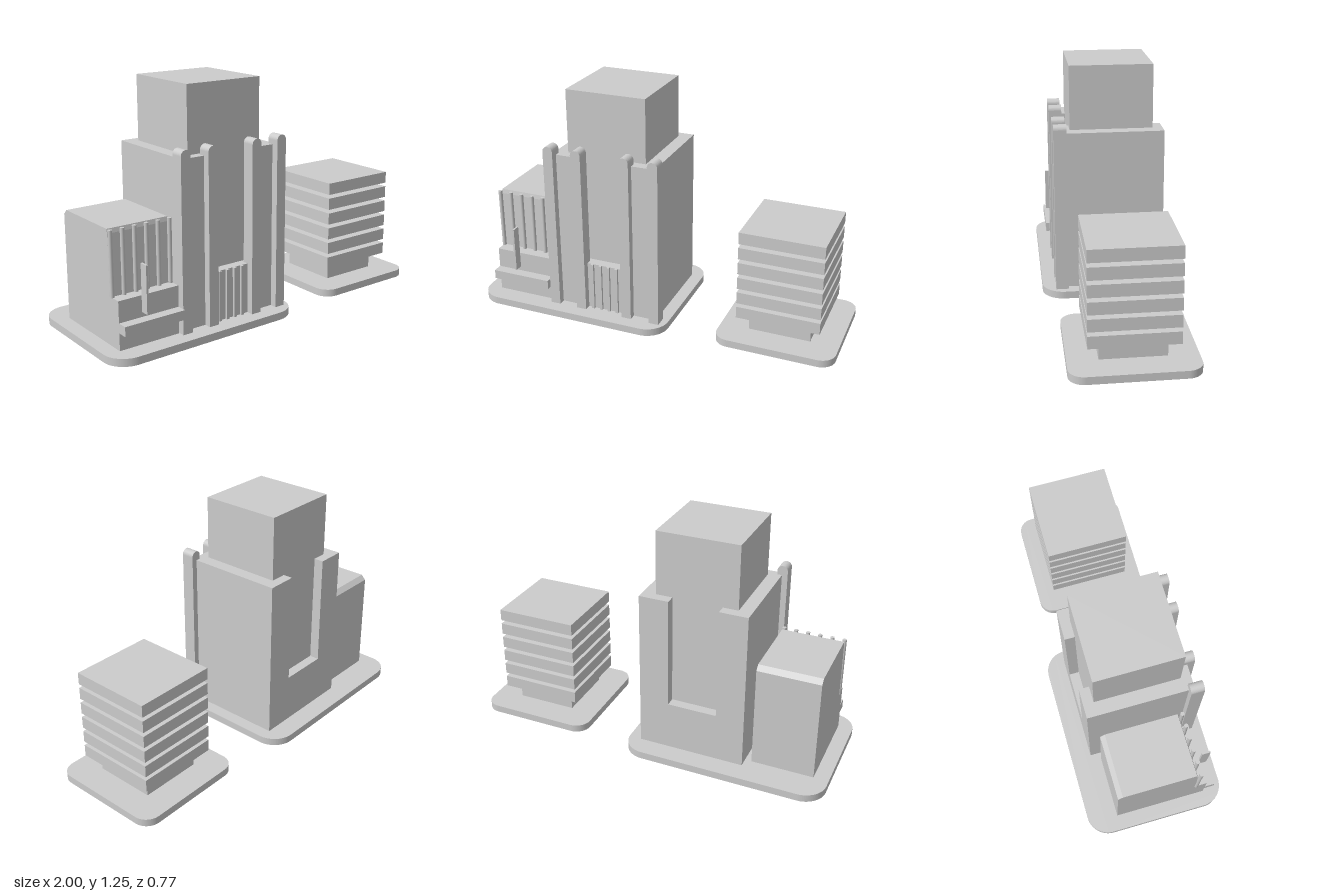
import * as THREE from 'three';

const material = new THREE.MeshStandardMaterial({ color: 0xcccccc });

function add(parent, name, geometry) {
  const mesh = new THREE.Mesh(geometry, material);
  mesh.name = name;
  parent.add(mesh);
  return mesh;
}

// Box given by its limits on each axis
function block(parent, name, [x0, x1], [y0, y1], [z0, z1]) {
  const mesh = add(parent, name, new THREE.BoxGeometry(x1 - x0, y1 - y0, z1 - z0));
  mesh.position.set((x0 + x1) / 2, (y0 + y1) / 2, (z0 + z1) / 2);
  return mesh;
}

function polygon(points) {
  return new THREE.Shape(points.map(([x, y]) => new THREE.Vector2(x, y)));
}

function extrude(shape, depth) {
  return new THREE.ExtrudeGeometry(shape, { depth, bevelEnabled: false, curveSegments: 10 });
}

// Ground slab with rounded corners
function slab(parent, name, cx, w, d, r) {
  const x = w / 2, y = d / 2;
  const s = new THREE.Shape();
  s.absarc(x - r, y - r, r, 0, Math.PI / 2);
  s.absarc(-x + r, y - r, r, Math.PI / 2, Math.PI);
  s.absarc(-x + r, -y + r, r, Math.PI, Math.PI * 1.5);
  s.absarc(x - r, -y + r, r, Math.PI * 1.5, Math.PI * 2);
  s.closePath();
  add(parent, name, extrude(s, 0.04).rotateX(-Math.PI / 2)).position.x = cx;
}

function makeTower() {
  const tower = new THREE.Group();
  tower.name = 'mainTower';

  // Lower body with two shoulders, leaving a tall slot at front and back
  const body = polygon([
    [-0.55, 0.04], [0.03, 0.04], [0.03, 0.91], [-0.131, 0.91],
    [-0.131, 0.307], [-0.398, 0.307], [-0.398, 0.91], [-0.55, 0.91],
  ]);
  add(tower, 'shoulderBody', extrude(body, 0.55)).position.z = -0.275;
  block(tower, 'upperTower', [-0.48, -0.04], [0.3, 1.253], [-0.222, 0.222]);

  // Round-topped pilasters on the front
  const r = 0.028, top = 0.962;
  for (const x of [-0.553, -0.394, -0.126, 0.033]) {
    const s = new THREE.Shape();
    s.moveTo(-r, 0.04);
    s.lineTo(r, 0.04);
    s.lineTo(r, top - r);
    s.absarc(0, top - r, r, 0, Math.PI);
    s.closePath();
    add(tower, 'pilaster', extrude(s, 0.07)).position.set(x, 0, 0.244);
  }

  // Entrance fins
  for (let i = 0; i < 4; i++) {
    const x = -0.335 + i * 0.047;
    block(tower, 'entranceFin', [x - 0.008, x + 0.008], [0.04, 0.307], [0.27, 0.288]);
  }
  return tower;
}

function makeHall() {
  const hall = new THREE.Group();
  hall.name = 'sideHall';
  const x0 = -0.92, x1 = -0.585;

  // Side profile in (z, y): chamfered back edge, slightly leaning glass front
  const profile = polygon([
    [-0.222, 0.04], [0.215, 0.04], [0.215, 0.29], [0.2, 0.597],
    [0.195, 0.62], [-0.197, 0.62], [-0.222, 0.595],
  ]);
  const geometry = extrude(profile, x1 - x0).rotateY(-Math.PI / 2);
  add(hall, 'hallBody', geometry).position.x = x1;

  block(hall, 'podium', [x0, x1], [0.04, 0.29], [0.2, 0.28]);
  block(hall, 'canopy', [x0, x1], [0.13, 0.18], [0.27, 0.335]);
  block(hall, 'signFin', [-0.793, -0.783], [0.205, 0.45], [0.279, 0.326]);

  // Slender round columns in front of the glass
  for (let i = 0; i < 6; i++) {
    const column = add(hall, 'column', new THREE.CylinderGeometry(0.011, 0.011, 0.332, 12));
    column.position.set(-0.917 + i * 0.0654, 0.454, 0.22);
  }
  return hall;
}

function makeOffice() {
  const office = new THREE.Group();
  office.name = 'officeBlock';
  block(office, 'core', [0.518, 0.848], [0.04, 0.6], [-0.165, 0.165]);
  // Stacked overhanging floors
  for (let i = 0; i < 6; i++) {
    const y = 0.128 + i * 0.0855;
    block(office, 'floorBand', [0.461, 0.905], [y, y + 0.064], [-0.222, 0.222]);
  }
  return office;
}

export function createModel() {
  const model = new THREE.Group();
  model.name = 'cityBlocks';
  slab(model, 'largeBase', -0.451, 1.098, 0.77, 0.12);
  slab(model, 'smallBase', 0.682, 0.636, 0.633, 0.08);
  model.add(makeTower(), makeHall(), makeOffice());
  return model;
}
